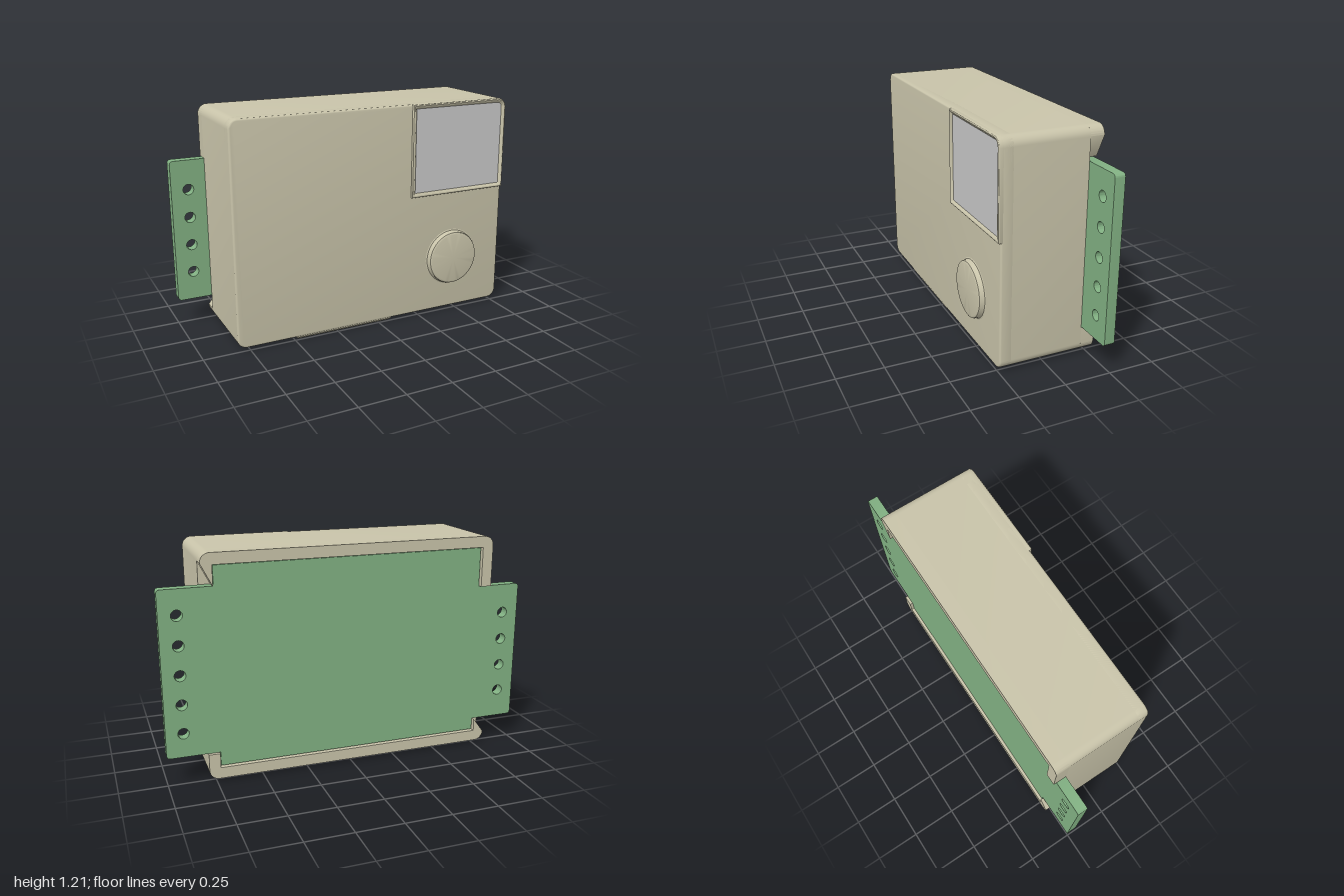
import * as THREE from 'three';
import { toCreasedNormals, mergeVertices } from 'three/addons/utils/BufferGeometryUtils.js';

const mat = (name, color, side = THREE.FrontSide) => {
  const m = new THREE.MeshStandardMaterial({ color, side });
  m.name = name;
  return m;
};

// Rounded rectangle outline, counter-clockwise from the lower left.
// radii: lower left, lower right, upper right, upper left
function roundedLoop([x0, y0, x1, y1], radii, inset = 0, steps = 8) {
  const r = radii.map((v) => Math.max(v - inset, 0.002));
  const [a, b, c, d] = [x0 + inset, y0 + inset, x1 - inset, y1 - inset];
  const centres = [
    [a + r[0], b + r[0]], [c - r[1], b + r[1]],
    [c - r[2], d - r[2]], [a + r[3], d - r[3]],
  ];
  const points = [];
  centres.forEach(([cx, cy], i) => {
    for (let s = 0; s <= steps; s++) {
      const t = Math.PI + (i + s / steps) * Math.PI / 2;
      points.push(new THREE.Vector2(cx + r[i] * Math.cos(t), cy + r[i] * Math.sin(t)));
    }
  });
  return points;
}

// Extrude an outline between two depths, optionally with softened rims
function slab(shape, z0, z1, bevel = 0) {
  const g = new THREE.ExtrudeGeometry(shape, {
    depth: z1 - z0 - 2 * bevel, curveSegments: 24, bevelEnabled: bevel > 0,
    bevelSize: bevel, bevelOffset: -bevel, bevelThickness: bevel, bevelSegments: 3,
  });
  g.translate(0, 0, z0 + bevel);
  return toCreasedNormals(g, 0.6);
}

// Raised window frame: nested outlines joined by sloping strips
function frameGeometry(rect, radii, profile) {
  const loops = profile.map(([inset]) => roundedLoop(rect, radii, inset));
  const n = loops[0].length;
  const pos = [], index = [];
  loops.forEach((loop, k) => loop.forEach((p) => pos.push(p.x, p.y, profile[k][1])));
  for (let k = 0; k + 1 < loops.length; k++) {
    for (let i = 0; i < n; i++) {
      const j = (i + 1) % n, a = k * n, b = a + n;
      index.push(a + i, a + j, b + j, a + i, b + j, b + i);
    }
  }
  const g = new THREE.BufferGeometry();
  g.setAttribute('position', new THREE.Float32BufferAttribute(pos, 3));
  g.setIndex(index);
  return toCreasedNormals(mergeVertices(g), 0.5);
}

export function createModel() {
  const root = new THREE.Group();
  root.name = 'wallController';
  const casing = mat('casing beige', 0xc9c4aa, THREE.DoubleSide);
  const green = mat('board green', 0x82b183);
  const grey = mat('window grey', 0xc8c8c8);
  const add = (name, geometry, material, parent = root) => {
    const mesh = new THREE.Mesh(geometry, material);
    mesh.name = name;
    parent.add(mesh);
    return mesh;
  };

  // Casing: closed front and hollow walls
  const outer = [-0.815, 0.015, 0.787, 1.208];
  const inner = [-0.755, 0.075, 0.727, 1.148];
  const corners = [0.05, 0.05, 0.05, 0.05];
  const sharp = [0, 0, 0, 0];
  add('casingFront', slab(new THREE.Shape(roundedLoop(outer, corners)), 0.18, 0.25, 0.01), casing);
  const walls = new THREE.Shape(roundedLoop(outer, corners));
  walls.holes.push(new THREE.Path(roundedLoop(inner, sharp)));
  add('casingWalls', slab(walls, -0.207, 0.239), casing);

  // Rear rim: upper and lower brackets, leaving notches for the board ears
  const notch = { left: [0.145, 0.93], right: [0.155, 1.04] };
  const [ox0, oy0, ox1, oy1] = outer;
  const [ix0, iy0, ix1, iy1] = inner;
  const arc = (s, cx, cy, from, to) => s.absarc(cx, cy, 0.05, from, to, false);
  const upper = new THREE.Shape();
  upper.moveTo(ox1, notch.right[1]);
  arc(upper, ox1 - 0.05, oy1 - 0.05, 0, Math.PI / 2);
  arc(upper, ox0 + 0.05, oy1 - 0.05, Math.PI / 2, Math.PI);
  upper.lineTo(ox0, notch.left[1]);
  upper.lineTo(ix0, notch.left[1]);
  upper.lineTo(ix0, iy1);
  upper.lineTo(ix1, iy1);
  upper.lineTo(ix1, notch.right[1]);
  add('rearRimUpper', slab(upper, -0.282, -0.207), casing);
  const lower = new THREE.Shape();
  lower.moveTo(ox0, notch.left[0]);
  arc(lower, ox0 + 0.05, oy0 + 0.05, Math.PI, Math.PI * 1.5);
  arc(lower, ox1 - 0.05, oy0 + 0.05, Math.PI * 1.5, Math.PI * 2);
  lower.lineTo(ox1, notch.right[0]);
  lower.lineTo(ix1, notch.right[0]);
  lower.lineTo(ix1, iy0);
  lower.lineTo(ix0, iy0);
  lower.lineTo(ix0, notch.left[0]);
  add('rearRimLower', slab(lower, -0.282, -0.207), casing);

  // Circuit board with a drilled ear on each side
  const board = new THREE.Group();
  board.name = 'circuitBoard';
  root.add(board);
  const g = 0.005;
  const plate = [ix0 + g, iy0 + g, ix1 - g, iy1 - g];
  add('boardPlate', slab(new THREE.Shape(roundedLoop(plate, sharp)), -0.265, -0.209), green, board);
  const ear = (name, rect, radii, holeX, holeYs) => {
    const shape = new THREE.Shape(roundedLoop(rect, radii));
    holeYs.forEach((y) => shape.holes.push(new THREE.Path().absarc(holeX, y, 0.029, 0, Math.PI * 2, true)));
    add(name, slab(shape, -0.265, -0.209), green, board);
  };
  const e = 0.018;
  ear('leftEar', [plate[2], notch.right[0] + 0.001, 1, notch.right[1] - 0.001], [0, e, e, 0],
    0.908, [0.285, 0.44, 0.595, 0.75, 0.905]);
  ear('rightEar', [-1, notch.left[0] + 0.001, plate[0], notch.left[1] - 0.001], [e, 0, 0, e],
    -0.908, [0.303, 0.458, 0.613, 0.768]);

  // Display window on the front
  const display = new THREE.Group();
  display.name = 'displayWindow';
  display.position.z = 0.25;
  root.add(display);
  const rimProfile = [[0, -0.012], [0, 0.006], [0.003, 0.012], [0.008, 0.015], [0.013, 0.014], [0.025, 0.002]];
  add('displayFrame', frameGeometry([0.193, 0.698, 0.787, 1.208], [0, 0, 0.05, 0], rimProfile), casing, display);
  add('displayPane', new THREE.BoxGeometry(0.548, 0.464, 0.004).translate(0.49, 0.953, 0.001), grey, display);

  // Sensor window underneath
  const sensor = new THREE.Group();
  sensor.name = 'bottomWindow';
  sensor.position.y = 0.015;
  sensor.rotation.x = Math.PI / 2;
  root.add(sensor);
  const lowProfile = [[0, -0.004], [0, 0.002], [0.012, 0.015], [0.02, 0.015], [0.033, 0.002]];
  add('bottomFrame', frameGeometry([-0.492, -0.208, 0.082, 0.247], sharp, lowProfile), casing, sensor);
  add('bottomPane', new THREE.BoxGeometry(0.51, 0.392, 0.004).translate(-0.205, 0.0195, 0.001), grey, sensor);

  // Round button with a flared foot and softened edge
  const profile = [[0.163, 0], [0.156, 0.003], [0.152, 0.01], [0.152, 0.023], [0.149, 0.029], [0.143, 0.032], [0.138, 0.033], [0, 0.033]]
    .map(([r, h]) => new THREE.Vector2(r, h));
  const button = add('button', toCreasedNormals(new THREE.LatheGeometry(profile, 48), 0.6), casing);
  button.rotation.x = Math.PI / 2;
  button.position.set(0.46, 0.32, 0.25);

  return root;
}
